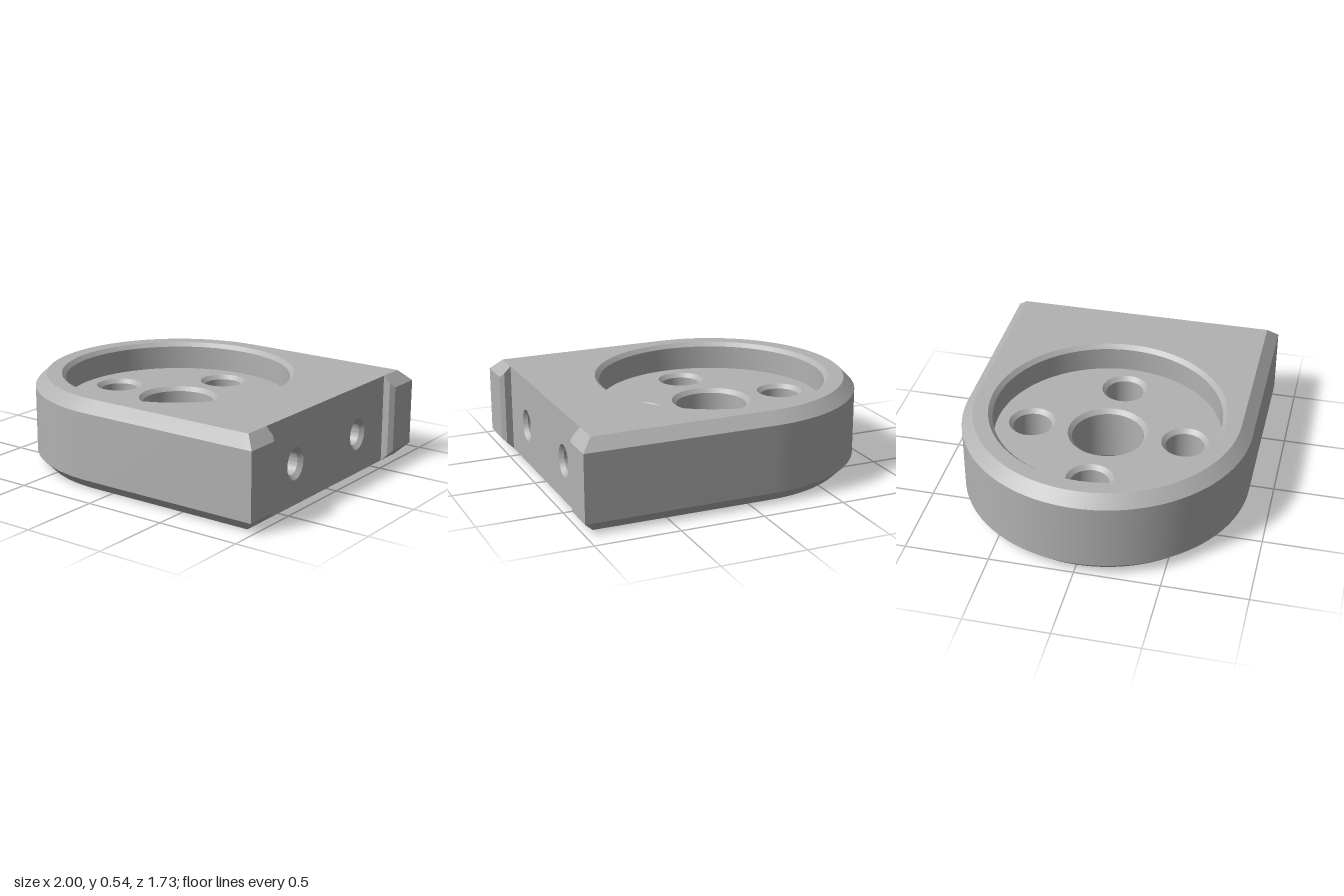
import * as THREE from 'three';
import { toCreasedNormals } from 'three/addons/utils/BufferGeometryUtils.js';
import { ConvexGeometry } from 'three/addons/geometries/ConvexGeometry.js';

const R = 0.863;          // radius of the round end, half the depth
const CX = -1 + R;        // centre of the round end
const H = 0.535;          // height
const C = 0.067;          // large chamfer
const c = 0.025;          // small chamfer
const FACE = 1 - C;       // flat end face between the lugs
const FLOOR = 0.365;      // recess floor
const LUG = 0.63;         // inner side of the lugs
const RECESS = 0.68;
const HOLES = [[0, 0, 0.215], [0.467, 0, 0.115], [-0.467, 0, 0.115], [0, 0.467, 0.115], [0, -0.467, 0.115]];
const SLOT = { r: 0.071, squash: 0.85, y: 0.243, z: 0.335, depth: 0.4 };

const v2 = (x, y) => new THREE.Vector2(x, y);

// D outline from the front corner round to the back corner
function outline(inset) {
  const r = R - inset, pts = [v2(FACE, r)];
  for (let i = 0; i <= 48; i++) {
    const a = Math.PI / 2 + (Math.PI * i) / 48;
    pts.push(v2(CX + r * Math.cos(a), r * Math.sin(a)));
  }
  pts.push(v2(FACE, -r));
  return pts;
}

function addHole(shape, x, y, rx, ry = rx) {
  shape.holes.push(new THREE.Path().absellipse(x, y, rx, ry, 0, Math.PI * 2, true));
}

// Flat cap at height y, facing up or down
function cap(shape, y, up) {
  return new THREE.ShapeGeometry(shape, 32).rotateX(up ? -Math.PI / 2 : Math.PI / 2).translate(0, y, 0);
}

// Inward-facing bore, profile listed from the top down
function bore(profile) {
  return toCreasedNormals(new THREE.LatheGeometry(profile.map(p => v2(...p)), 64), 0.5);
}

// Chamfered outer wall lofted through four rings
function rimWall() {
  const rings = [[C, 0], [0, C], [0, H - C], [C, H]];
  const pos = [], idx = [];
  let n = 0;
  for (const [inset, y] of rings) {
    const pts = outline(inset);
    n = pts.length;
    for (const p of pts) pos.push(p.x, y, p.y);
  }
  for (let j = 0; j < rings.length - 1; j++) {
    for (let i = 0; i < n - 1; i++) {
      const p = j * n + i;
      idx.push(p, p + n, p + 1, p + 1, p + n, p + n + 1);
    }
  }
  const g = new THREE.BufferGeometry();
  g.setAttribute('position', new THREE.Float32BufferAttribute(pos, 3));
  g.setIndex(idx);
  return toCreasedNormals(g, 0.5);
}

// Corner lug with bevelled edges, side s = 1 front or -1 back
function lug(s) {
  const pts = [];
  const both = (x, y, z) => pts.push(new THREE.Vector3(x, y, s * z), new THREE.Vector3(x, H - y, s * z));
  both(FACE, 0, LUG);
  both(FACE, 0, R - C);
  both(FACE, C, R);
  both(1, C, R);
  both(1, C, LUG + c);
  both(1 - c, C - c, LUG);
  return new ConvexGeometry(pts);
}

export function createModel() {
  const group = new THREE.Group();
  const grey = new THREE.MeshStandardMaterial({ color: 0xb2b2b2 });
  grey.name = 'grey metal';
  const add = (name, geometry) => {
    const mesh = new THREE.Mesh(geometry, grey);
    mesh.name = name;
    group.add(mesh);
    return mesh;
  };

  add('outerWall', rimWall());

  // Top face around the recess
  const top = new THREE.Shape(outline(C));
  addHole(top, CX, 0, RECESS + c);
  add('topFace', cap(top, H, true));

  // Underside and recess floor, both pierced by the five holes
  const under = new THREE.Shape(outline(C));
  const floor = new THREE.Shape().absarc(CX, 0, RECESS, 0, Math.PI * 2);
  for (const [x, z, r] of HOLES) {
    addHole(under, CX + x, z, r + c);
    addHole(floor, CX + x, z, r + c);
  }
  add('underside', cap(under, 0, false));
  add('recessFloor', cap(floor, FLOOR, true));

  // Recess wall and chamfered through holes
  add('recessWall', bore([[RECESS + c, H], [RECESS, H - c], [RECESS, FLOOR]])).position.x = CX;
  for (const [x, z, r] of HOLES) {
    const hole = bore([[r + c, FLOOR], [r, FLOOR - c], [r, c], [r + c, 0]]);
    add('throughHole', hole).position.set(CX + x, 0, z);
  }

  // End face with two blind oval holes
  const end = new THREE.Shape([v2(-LUG, 0), v2(LUG, 0), v2(LUG, H), v2(-LUG, H)]);
  const ro = SLOT.r + c;
  for (const s of [-1, 1]) {
    addHole(end, s * SLOT.z, SLOT.y, ro * SLOT.squash, ro);
    const hole = bore([[ro, 0], [SLOT.r, -c], [SLOT.r, -SLOT.depth], [0, -SLOT.depth]]);
    hole.scale(1, 1, SLOT.squash).rotateZ(-Math.PI / 2);
    add('endHole', hole).position.set(FACE, SLOT.y, s * SLOT.z);
    add(s > 0 ? 'frontLug' : 'backLug', lug(s));
  }
  add('endFace', new THREE.ShapeGeometry(end, 32).rotateY(Math.PI / 2).translate(FACE, 0, 0));

  return group;
}
